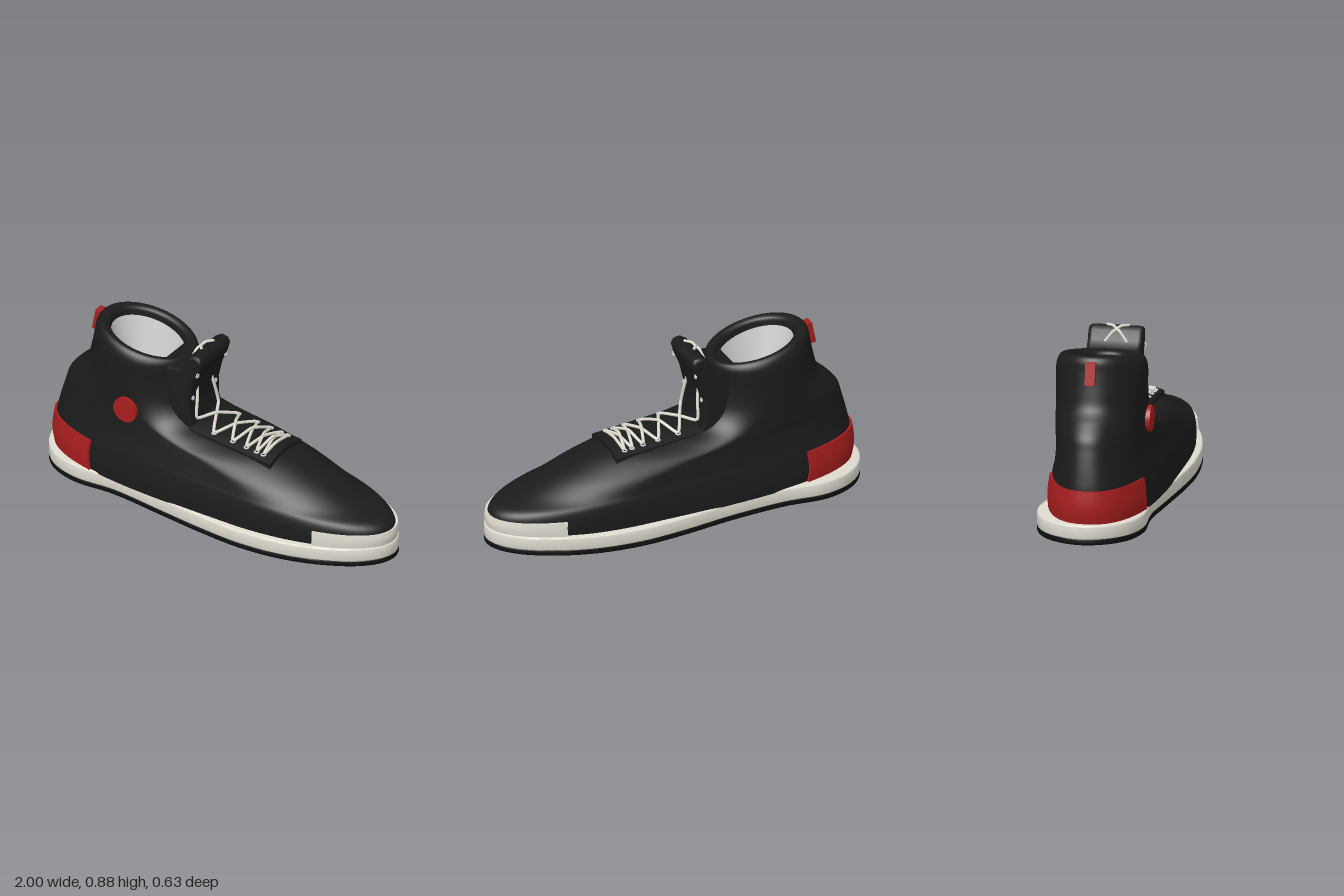
import * as THREE from 'three';
import { mergeVertices, toCreasedNormals } from 'three/addons/utils/BufferGeometryUtils.js';

const paint = (color, side = THREE.FrontSide) => new THREE.MeshStandardMaterial({ color, side });
const BLACK = 0x1b1b1b, WHITE = 0xdedacf, RED = 0xa81e1e, GREY = 0xcccccc;

// Upper body rings, bottom to rim: heel x,y | toe x,y | half width, widest x | heel squareness, side sag, z shift
const RINGS = [
  [-0.95, 0.09, 0.975, 0.10, 0.283, 0.28, 3.5, 0, 0],
  [-0.965, 0.17, 0.985, 0.17, 0.283, 0.28, 3.5, 0, 0],
  [-0.957, 0.26, 0.95, 0.225, 0.273, 0.28, 3.4, 0, 0],
  [-0.945, 0.32, 0.80, 0.268, 0.262, 0.25, 3.3, 0.01, 0],
  [-0.93, 0.38, 0.58, 0.355, 0.25, 0.15, 3.2, 0.03, -0.003],
  [-0.91, 0.45, 0.35, 0.425, 0.24, -0.02, 3.0, 0.055, -0.005],
  [-0.89, 0.51, 0.08, 0.452, 0.234, -0.2, 2.7, 0.055, -0.008],
  [-0.84, 0.57, -0.08, 0.468, 0.228, -0.35, 2.4, 0.03, -0.01],
  [-0.78, 0.63, -0.165, 0.53, 0.225, -0.43, 2.2, 0.01, -0.01],
  [-0.755, 0.71, -0.195, 0.64, 0.224, -0.46, 2, 0, -0.01],
  [-0.735, 0.80, -0.2, 0.73, 0.224, -0.46, 2, 0, -0.01],
  [-0.725, 0.855, -0.2, 0.765, 0.213, -0.46, 2, 0, -0.01],
  [-0.70, 0.88, -0.215, 0.785, 0.19, -0.46, 2, 0, -0.01],
  [-0.66, 0.868, -0.25, 0.775, 0.162, -0.46, 2, 0, -0.01],
  [-0.65, 0.83, -0.265, 0.74, 0.155, -0.46, 2, 0, -0.01],
];
const LAST = RINGS.length - 1;
const tracks = [0, 3, 6].map(k =>
  new THREE.CatmullRomCurve3(RINGS.map(r => new THREE.Vector3(r[k], r[k + 1], r[k + 2])), false, 'catmullrom', 0.5));

// Point on the upper: angle 0 is the toe, PI the heel; ring runs from 0 to LAST
function upperPoint(angle, ring) {
  const [a, b, c] = tracks.map(t => t.getPoint(THREE.MathUtils.clamp(ring / LAST, 0, 1)));
  const [xb, yb, xf, yf, w, xm] = [a.x, a.y, a.z, b.x, b.y, b.z];
  const cos = Math.cos(angle), sin = Math.sin(angle);
  const x = xm + cos * (cos > 0 ? xf - xm : xm - xb);
  const rear = Math.pow(Math.max(0, 1 - Math.pow(Math.abs(cos), c.x)), 0.5 - 0.05 * (c.x - 2));
  const z = w * (cos > 0 ? sin : Math.sign(sin) * rear);
  const y = THREE.MathUtils.lerp(yb, yf, (x - xb) / (xf - xb)) - c.y * sin * sin;
  return new THREE.Vector3(x, y, z + c.z);
}

// Grid surface from a rule of two indices
function grid(rule, nu, nv) {
  const pos = [], idx = [];
  for (let j = 0; j <= nv; j++)
    for (let i = 0; i <= nu; i++) pos.push(...rule(i, j).toArray());
  for (let j = 0; j < nv; j++)
    for (let i = 0; i < nu; i++) {
      const a = j * (nu + 1) + i, c = a + nu + 1;
      idx.push(a, c, a + 1, a + 1, c, c + 1);
    }
  let g = new THREE.BufferGeometry();
  g.setAttribute('position', new THREE.Float32BufferAttribute(pos, 3));
  g.setIndex(idx);
  g = mergeVertices(g, 1e-5);
  g.computeVertexNormals();
  return g;
}

// Raised patch that follows the upper, its border tucked under the surface
function patch(a0, a1, topRing, height) {
  const nu = 48, nv = 12, e = 0.01;
  return toCreasedNormals(grid((i, j) => {
    const edge = i === 0 || i === nu || j === 0 || j === nv;
    const u = THREE.MathUtils.clamp((i - 1) / (nu - 2), 0, 1), v = THREE.MathUtils.clamp((j - 1) / (nv - 2), 0, 1);
    const angle = THREE.MathUtils.lerp(a0, a1, u), ring = 0.02 + v * topRing;
    const du = upperPoint(angle + e, ring).sub(upperPoint(angle - e, ring));
    const dv = upperPoint(angle, ring + e).sub(upperPoint(angle, ring - e));
    const n = dv.cross(du).normalize();
    return upperPoint(angle, ring).addScaledVector(n, edge ? -0.01 : height);
  }, nu, nv), 0.8);
}

// Sole outline: x and half width, heel to toe
const SOLE = [[-0.96, 0.13], [-0.87, 0.22], [-0.72, 0.267], [-0.5, 0.253], [-0.2, 0.275], [0.05, 0.303],
  [0.3, 0.316], [0.55, 0.295], [0.75, 0.238], [0.9, 0.158], [0.98, 0.07]];
function soleLayer(y0, y1, bevel) {
  const shift = x => (x < -0.3 ? -0.016 * Math.min(1, (-0.3 - x) / 0.3) : 0);
  const pts = [[-1, 0], ...SOLE, [1, 0], ...SOLE.map(([x, w]) => [x, -w]).reverse()]
    .map(([x, w]) => new THREE.Vector3(x, w - shift(x), 0));
  const outline = new THREE.CatmullRomCurve3(pts, true).getSpacedPoints(140).slice(0, -1);
  const g = new THREE.ExtrudeGeometry(new THREE.Shape(outline.map(p => new THREE.Vector2(p.x, p.y))), {
    depth: y1 - y0 - 2 * bevel, bevelThickness: bevel, bevelSize: bevel, bevelOffset: -bevel, bevelSegments: 3,
  });
  g.rotateX(-Math.PI / 2).translate(0, y0 + bevel, 0);
  const p = g.attributes.position;
  for (let i = 0; i < p.count; i++) // toe spring
    p.setY(i, p.getY(i) + 0.024 * THREE.MathUtils.smoothstep(p.getX(i), 0.2, 1.05));
  return toCreasedNormals(g, 0.7);
}

const panelTop = (x, z) => 0.468 - 0.085 * (x - 0.08) - 1.3 * z * z;

export function createModel() {
  const model = new THREE.Group();
  const add = (name, geometry, color, side) => {
    const mesh = new THREE.Mesh(geometry, paint(color, side));
    mesh.name = name;
    model.add(mesh);
    return mesh;
  };
  const tube = (name, pts, r = 0.008) => {
    const curve = new THREE.CatmullRomCurve3(pts.map(p => new THREE.Vector3(...p)), false, 'catmullrom', 0.25);
    add(name, new THREE.TubeGeometry(curve, pts.length * 8, r, 8), WHITE);
  };

  // Sole
  add('outsole', soleLayer(0, 0.036, 0.01), 0x111111);
  add('midsole', soleLayer(0.028, 0.1, 0.008), WHITE);

  // Upper with rolled collar, and the funnel-shaped lining
  add('upper', grid((i, j) => upperPoint((i % 96) / 96 * Math.PI * 2, j / 6), 96, LAST * 6), BLACK);
  const apex = new THREE.Vector3(-0.46, 0.22, -0.01);
  add('lining', grid((i, j) => upperPoint((i % 64) / 64 * Math.PI * 2, LAST).lerp(apex, j / 8), 64, 8),
    GREY, THREE.DoubleSide);

  // Heel counter, toe bumper, heel tab and side disc
  add('heelCounter', patch(Math.PI * 0.765, Math.PI * 1.235, 2.05, 0.012), RED);
  add('toeBumper', patch(-0.98, 0.98, 1.28, 0.012), WHITE);
  const tab = add('heelTab', new THREE.BoxGeometry(0.03, 0.115, 0.05), RED);
  tab.position.set(-0.748, 0.805, -0.012);
  tab.rotation.z = -0.2;
  const disc = add('sideDisc', new THREE.CylinderGeometry(0.066, 0.066, 0.2, 40), RED);
  disc.rotation.x = Math.PI / 2;
  disc.position.set(-0.435, 0.505, 0.135);

  // Tongue, leaning forward at the top
  const side = [[-0.31, 0.42], [-0.31, 0.76], [-0.19, 0.772], [-0.155, 0.81], [-0.135, 0.855], [-0.105, 0.873],
    [-0.07, 0.866], [-0.056, 0.84], [-0.07, 0.79], [-0.1, 0.72], [-0.123, 0.62], [-0.12, 0.52], [-0.09, 0.42]];
  const tongue = new THREE.ExtrudeGeometry(new THREE.Shape(side.map(p => new THREE.Vector2(...p))), {
    depth: 0.23, bevelThickness: 0.022, bevelSize: 0.016, bevelOffset: -0.016, bevelSegments: 4,
  });
  add('tongue', toCreasedNormals(tongue.translate(0, 0, -0.123), 0.9), BLACK);

  // Lace panel curved over the instep
  const panel = new THREE.BoxGeometry(0.48, 0.05, 0.28, 16, 1, 16).translate(0.12, -0.025, 0);
  const p = panel.attributes.position;
  for (let i = 0; i < p.count; i++) p.setY(i, p.getY(i) + panelTop(p.getX(i), p.getZ(i)));
  add('lacePanel', toCreasedNormals(panel, 0.8), BLACK);

  // Two crossing laces with their eyelets
  const rows = [0.01, 0.12, 0.2, 0.26, 0.3];
  for (const s of [1, -1]) {
    const over = s > 0 ? 0.026 : 0.012;
    const path = [[-0.125, 0.7, s * 0.055], [-0.11, 0.6, s * 0.077], [-0.1, 0.505, s * 0.095],
      [-0.05, panelTop(-0.05, 0) + over, 0]];
    rows.forEach((x, i) => {
      const z = -s * (i % 2 ? -1 : 1) * 0.108;
      path.push([x, panelTop(x, z) + 0.006, z]);
      if (i < rows.length - 1) {
        const m = (x + rows[i + 1]) / 2;
        path.push([m, panelTop(m, 0) + over, 0]);
      }
      const eyelet = add('panelEyelet', new THREE.TorusGeometry(0.011, 0.004, 8, 16), GREY);
      eyelet.position.set(x, panelTop(x, z) + 0.002, z);
      eyelet.rotation.x = Math.PI / 2;
    });
    tube('lace', path);
    tube('tongueTopLace', [[-0.162, 0.805, s * 0.055], [-0.15, 0.85, s * 0.02], [-0.125, 0.877, -s * 0.02],
      [-0.1, 0.875, -s * 0.055]], 0.007);
    for (const [x, y, z, r] of [[-0.077, 0.77, 0.125, 0.01], [-0.12, 0.615, 0.1, 0.009]]) {
      const eyelet = add('tongueEyelet', new THREE.TorusGeometry(r, 0.004, 8, 16), GREY);
      eyelet.position.set(x, y, s * z);
      eyelet.rotation.y = Math.PI / 2;
    }
  }
  tube('laceBar', [-0.108, 0, 0.108].map(z => [0.305, panelTop(0.305, z) + 0.008, z]));
  return model;
}
